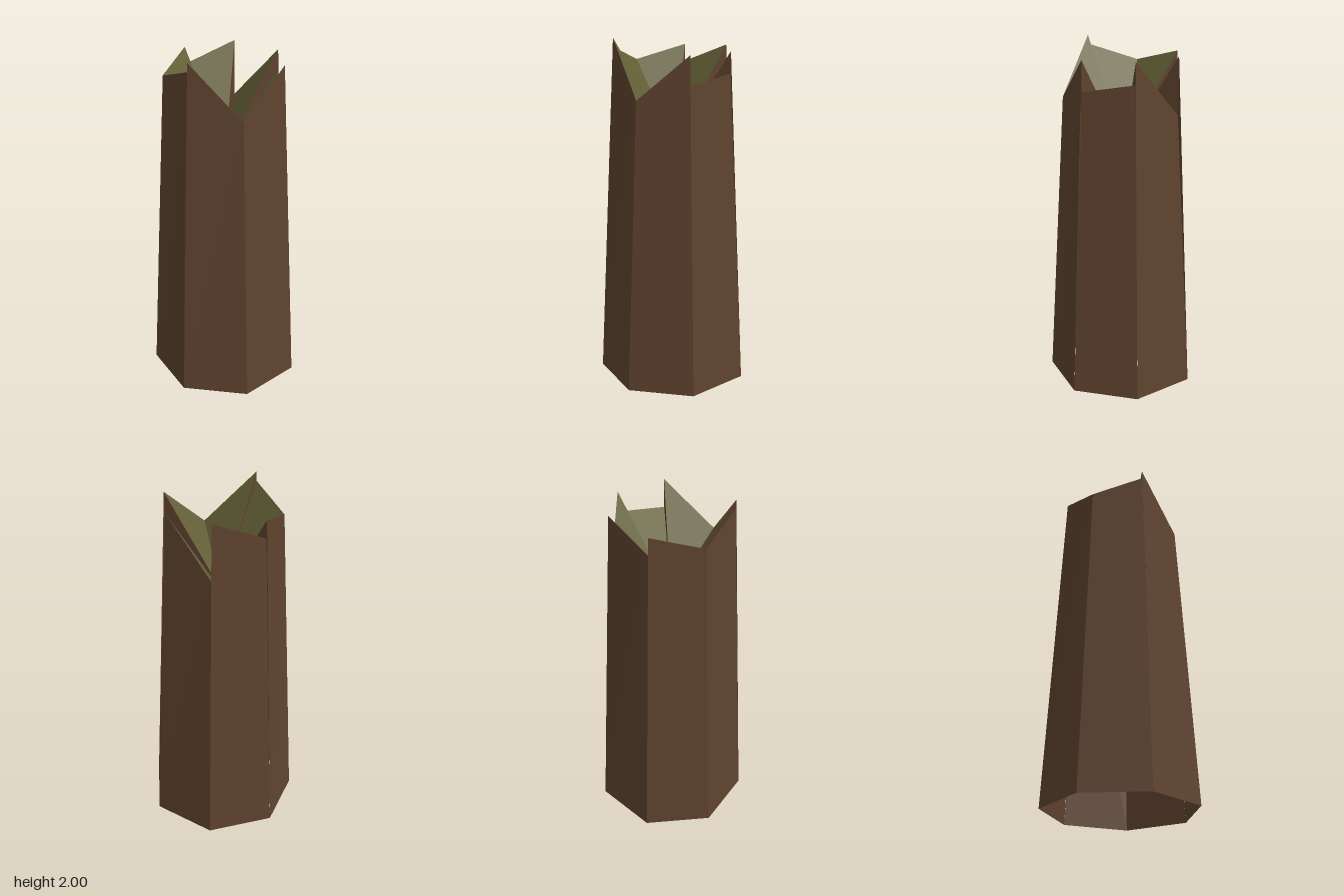
import * as THREE from 'three';

const SIDES = 7;
const CENTER_X = -0.022;

// Broken-top heights of each bark panel: [start corner, end corner]
const PANEL_TOPS = [
  [1.94, 1.69], [1.69, 2.0], [1.95, 1.85], [1.85, 1.93],
  [1.83, 1.945], [1.62, 1.94], [1.82, 1.77],
];

// Corner of the seven-sided trunk
function corner(i, radius, y) {
  const a = (i % SIDES) * Math.PI * 2 / SIDES;
  return [CENTER_X + radius * Math.cos(a), y, radius * Math.sin(a)];
}

function facetMesh(name, triangles, material) {
  const geometry = new THREE.BufferGeometry();
  geometry.setAttribute('position', new THREE.Float32BufferAttribute(triangles.flat(2), 3));
  geometry.computeVertexNormals();
  const mesh = new THREE.Mesh(geometry, material);
  mesh.name = name;
  return mesh;
}

export function createModel() {
  const group = new THREE.Group();
  group.name = 'brokenTreeStump';
  const surface = (color) => new THREE.MeshStandardMaterial({ color, flatShading: true, side: THREE.DoubleSide });
  const bark = surface(0x5f432f);
  const wood = surface(0x646037);
  const heart = [CENTER_X, 1.4, 0];

  const panels = [], hollow = [], steps = [];
  PANEL_TOPS.forEach(([h0, h1], i) => {
    const a = corner(i, 0.443, 0), b = corner(i + 1, 0.443, 0);
    const at = corner(i, 0.34, h0), bt = corner(i + 1, 0.34, h1);
    // Tapered outer wall
    panels.push([b, a, at], [b, at, bt]);
    // Sloping inner face down to the hollow's lowest point
    hollow.push([bt, at, heart]);
    // Upright splinter where neighbouring panels break at different heights
    const next = PANEL_TOPS[(i + 1) % SIDES][0];
    if (Math.abs(next - h1) > 0.001) steps.push([bt, corner(i + 1, 0.34, next), heart]);
  });

  group.add(
    facetMesh('barkPanels', panels, bark),
    facetMesh('woodHollow', hollow, wood),
    facetMesh('splinterSteps', steps, bark),
  );
  return group;
}
